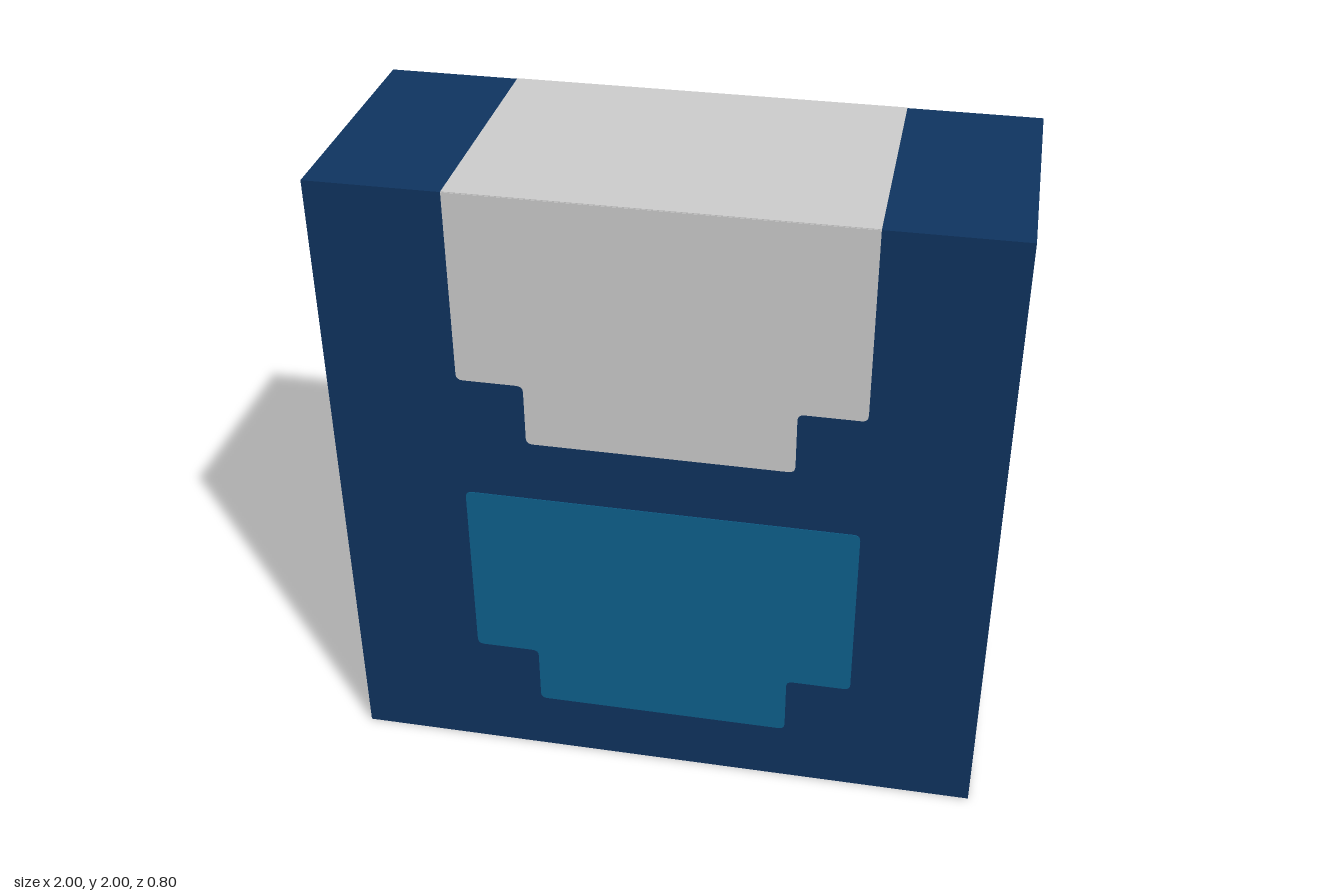
import * as THREE from 'three';

const material = (name, color) => {
  const m = new THREE.MeshStandardMaterial({ color });
  m.name = name;
  return m;
};

// Closed outline with small rounded corners; points are [x, y, radius]
function roundedShape(points) {
  const shape = new THREE.Shape();
  const n = points.length;
  points.forEach(([x, y, r = 0.02], i) => {
    const p = new THREE.Vector2(x, y);
    const toward = ([qx, qy]) => new THREE.Vector2(qx, qy).sub(p).setLength(r).add(p);
    const a = toward(points[(i + n - 1) % n]);
    const b = toward(points[(i + 1) % n]);
    if (i === 0) shape.moveTo(a.x, a.y);
    else shape.lineTo(a.x, a.y);
    if (r > 0) shape.quadraticCurveTo(x, y, b.x, b.y);
  });
  shape.closePath();
  return shape;
}

// Stepped panel: wide upper part over a narrower lower part
const stepped = (top, step, bottom, topRadius) => [
  [-0.4, bottom], [0.4, bottom], [0.4, step], [0.6, step],
  [0.6, top, topRadius], [-0.6, top, topRadius], [-0.6, step], [-0.4, step],
];

const rect = (w, y0, y1, r) => [[-w, y0, r], [w, y0, r], [w, y1, r], [-w, y1, r]];

export function createModel() {
  const navy = material('navy', 0x0f3460);
  const teal = material('teal', 0x0e618d);
  const grey = material('lightGrey', 0xcccccc);
  const black = material('charcoal', 0x292929);

  const group = new THREE.Group();
  group.name = 'block';

  // Main body
  const body = new THREE.Mesh(new THREE.BoxGeometry(2, 2, 0.8), navy);
  body.name = 'body';
  body.position.y = 1;
  group.add(body);

  // Thin plate laid on one face of the body
  const thickness = 0.002;
  function plate(name, mat, points, position, rotation) {
    const geometry = new THREE.ExtrudeGeometry(roundedShape(points), {
      depth: thickness, bevelEnabled: false, curveSegments: 4,
    });
    const mesh = new THREE.Mesh(geometry, mat);
    mesh.name = name;
    mesh.position.set(...position);
    mesh.rotation.set(...rotation);
    group.add(mesh);
  }

  // Light cap that folds over the top, longer on the front than the back
  plate('frontCap', grey, stepped(2, 1.4, 1.2, 0), [0, 0, 0.4], [0, 0, 0]);
  plate('backCap', grey, stepped(2, 1.6, 1.4, 0), [0, 0, -0.4], [0, Math.PI, 0]);
  plate('topCap', grey, rect(0.6, -0.4, 0.4, 0), [0, 2, 0], [-Math.PI / 2, 0, 0]);

  // Front panel
  plate('frontPanel', teal, stepped(1, 0.4, 0.2), [0, 0, 0.4], [0, 0, 0]);

  // Side patches, the one on -x being taller
  plate('leftPatch', grey, rect(0.2, 1.4, 1.8, 0.015), [1, 0, 0], [0, Math.PI / 2, 0]);
  plate('rightPatch', grey, rect(0.2, 1.2, 1.8, 0.015), [-1, 0, 0], [0, -Math.PI / 2, 0]);

  // Dark strip underneath
  plate('basePatch', black, rect(0.8, -0.2, 0.2), [0, 0, 0], [Math.PI / 2, 0, 0]);

  return group;
}
